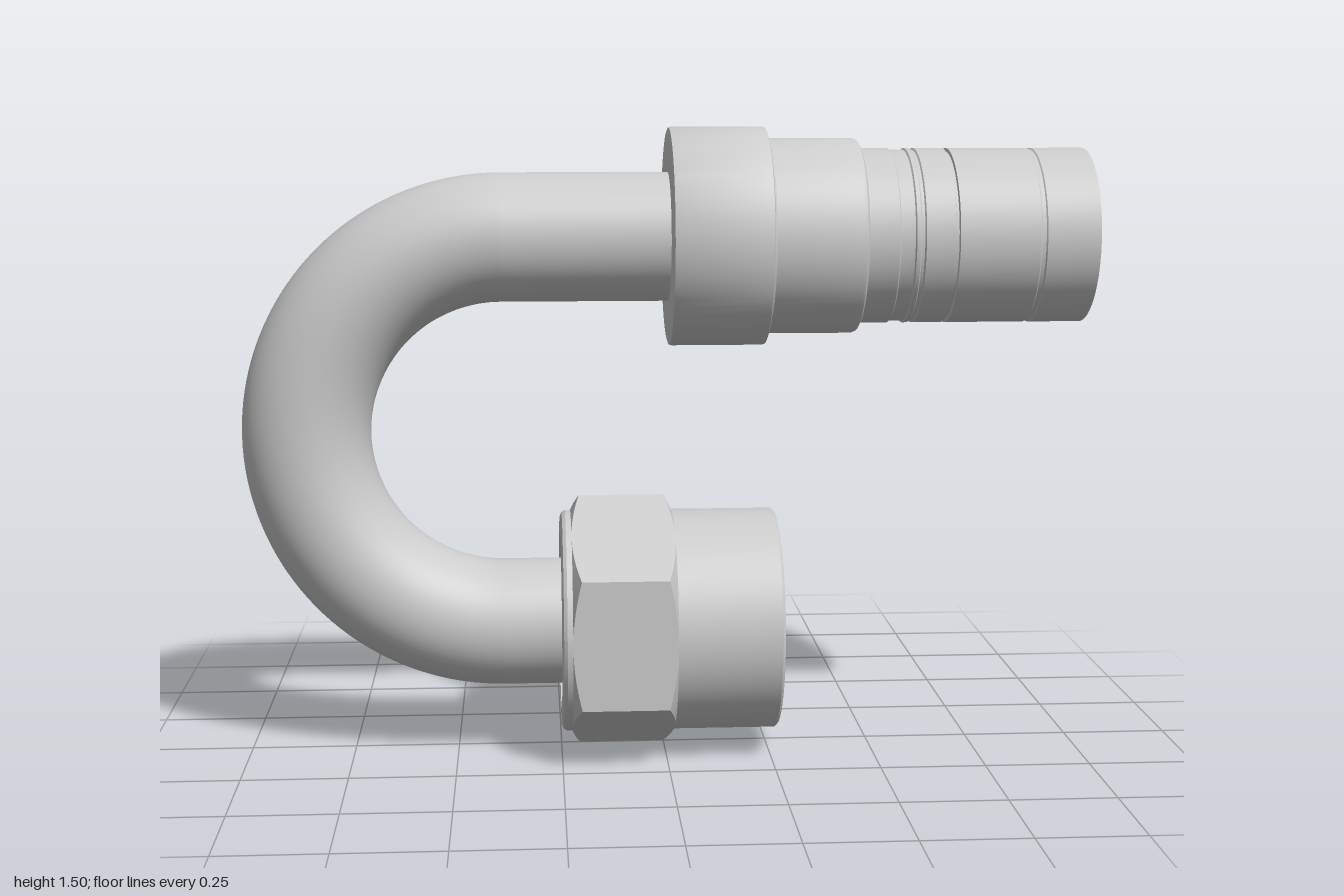
import * as THREE from 'three';
import { toCreasedNormals } from 'three/addons/utils/BufferGeometryUtils.js';

const GREY = new THREE.MeshStandardMaterial({ color: 0xcccccc });
const INNER = new THREE.MeshStandardMaterial({ color: 0xcccccc, side: THREE.BackSide });
const LOW = 0.308, HIGH = 1.238;      // heights of the two pipe axes
const BEND = (HIGH - LOW) / 2;        // bend radius
const BEND_X = -0.385;                // where the bend starts
const PIPE = 0.152, BORE = 0.115;     // pipe radii
const FLAT = 0.267;                   // hexagon centre to flat

function add(parent, name, geometry, material = GREY) {
  const mesh = new THREE.Mesh(geometry, material);
  mesh.name = name;
  parent.add(mesh);
  return mesh;
}

// Turned part about the x axis; profile is [x, radius], outside towards +x, inside back
function turned(profile) {
  const points = profile.map(([x, r]) => new THREE.Vector2(r, x));
  const geometry = new THREE.LatheGeometry(points, 72);
  geometry.rotateZ(-Math.PI / 2);
  return toCreasedNormals(geometry, 0.45);
}

// U-shaped pipe wall: half torus and two straight runs
function addPipe(parent, name, radius, material, highEnd, lowEnd) {
  const group = new THREE.Group();
  group.name = name;
  const bend = add(group, name + 'Bend', new THREE.TorusGeometry(BEND, radius, 48, 72, Math.PI), material);
  bend.rotation.z = Math.PI / 2;
  bend.position.set(BEND_X, LOW + BEND, 0);
  for (const [y, end] of [[HIGH, highEnd], [LOW, lowEnd]]) {
    const run = add(group, name + 'Run', turned([[BEND_X, radius], [end, radius]]), material);
    run.position.y = y;
  }
  parent.add(group);
}

// Distance along x of the chamfer edge for a position u across a flat
const chamferX = (u, start, dir) => start + dir * 0.5 * (Math.hypot(u, FLAT) - FLAT);

// Chamfer strip between the round barrel and one hexagon flat
function chamferStrip(us, start, dir) {
  const position = [], index = [];
  us.forEach((u, i) => {
    const a = Math.atan2(u, FLAT);
    position.push(start, FLAT * Math.sin(a), FLAT * Math.cos(a));
    position.push(chamferX(u, start, dir), u, FLAT);
    if (i === us.length - 1) return;
    const k = 2 * i;
    if (dir > 0) index.push(k, k + 1, k + 2, k + 1, k + 3, k + 2);
    else index.push(k, k + 2, k + 1, k + 1, k + 2, k + 3);
  });
  const geometry = new THREE.BufferGeometry();
  geometry.setAttribute('position', new THREE.Float32BufferAttribute(position, 3));
  geometry.setIndex(index);
  geometry.computeVertexNormals();
  return geometry;
}

function createNut() {
  const nut = new THREE.Group();
  nut.name = 'unionNut';
  const left = -0.225, right = 0.02;

  // Round barrel, recessed underneath the hexagon
  add(nut, 'nutBarrel', turned([
    [-0.25, 0.212], [-0.25, 0.252], [-0.246, 0.262], [-0.238, FLAT], [left, FLAT],
    [left + 0.005, 0.222], [-0.03, 0.222], [right - 0.005, 0.25], [right, FLAT],
    [0.264, FLAT], [0.27, 0.261], [0.27, 0.25], [0.255, 0.236],
    [0.0, 0.236], [-0.02, 0.212], [-0.25, 0.212],
  ]));

  // Six flats with curved chamfer edges; one has a drilled hole
  const half = FLAT * Math.tan(Math.PI / 6);
  const us = Array.from({ length: 17 }, (_, i) => half * (i / 8 - 1));
  const holeX = -0.14, holeZ = -0.217, holeR = 0.033;
  for (let k = 0; k < 6; k++) {
    const side = new THREE.Group();
    side.name = 'hexSide';
    side.rotation.x = Math.PI / 6 + k * Math.PI / 3 - Math.PI / 2;
    const outline = [
      ...us.map(u => new THREE.Vector2(chamferX(u, right, -1), u)),
      ...[...us].reverse().map(u => new THREE.Vector2(chamferX(u, left, 1), u)),
    ];
    const shape = new THREE.Shape(outline);
    if (k === 5) {
      const cos = Math.cos(Math.PI / 6);
      const hole = new THREE.Path();
      hole.absellipse(holeX, (-holeZ - half * cos) / cos, holeR, holeR / cos, 0, Math.PI * 2, true);
      shape.holes.push(hole);
    }
    const flat = new THREE.ShapeGeometry(shape, 24);
    flat.translate(0, 0, FLAT);
    add(side, 'hexFlat', flat);
    add(side, 'hexChamferBack', chamferStrip(us, left, 1));
    add(side, 'hexChamferFront', chamferStrip(us, right, -1));
    nut.add(side);
  }

  // Wall of the vertical hole, its rim cut to the slope of the flat
  const wall = new THREE.CylinderGeometry(holeR, holeR, 0.1, 32, 1, true);
  wall.translate(holeX, 0, holeZ);
  const p = wall.attributes.position;
  const tip = FLAT / Math.cos(Math.PI / 6);
  for (let i = 0; i < p.count; i++) {
    p.setY(i, p.getY(i) > 0 ? tip + p.getZ(i) * Math.tan(Math.PI / 6) : 0.03);
  }
  add(nut, 'wireHole', wall, INNER);
  return nut;
}

export function createModel() {
  const model = new THREE.Group();
  model.name = 'bentPipeFitting';

  addPipe(model, 'pipe', PIPE, GREY, 0.05, -0.2);
  addPipe(model, 'pipeBore', BORE, INNER, 0.05, -0.16);

  // Stepped coupling with grooves, open annular mouth and inner spigot
  const coupling = add(model, 'coupling', turned([
    [0.01, 0.14], [0.01, 0.25], [0.012, 0.256], [0.018, 0.258], [0.232, 0.258], [0.238, 0.256],
    [0.24, 0.25], [0.24, 0.236], [0.246, 0.231], [0.445, 0.231], [0.455, 0.227], [0.46, 0.218],
    [0.46, 0.207], [0.532, 0.207], [0.535, 0.203], [0.568, 0.203], [0.571, 0.207],
    [0.58, 0.207], [0.583, 0.203], [0.59, 0.203], [0.593, 0.207],
    [0.662, 0.207], [0.664, 0.2], [0.67, 0.2], [0.672, 0.207],
    [0.86, 0.207], [0.863, 0.204], [0.872, 0.204], [0.875, 0.207],
    [1.0, 0.207], [1.0, 0.199], [0.95, 0.194], [0.9, 0.194], [0.9, 0.183], [0.82, 0.183],
    [0.82, 0.14], [0.95, 0.14], [0.96, 0.136], [0.965, 0.13], [0.965, 0.12], [0.96, BORE], [0.05, BORE],
  ]));
  coupling.position.y = HIGH;

  // Conical seat held loosely inside the nut
  const seat = add(model, 'conicalSeat', turned([
    [-0.225, 0.15], [-0.225, 0.178], [-0.24, 0.183], [-0.24, 0.2], [-0.235, 0.205],
    [-0.06, 0.205], [-0.06, 0.18], [-0.16, BORE],
  ]));
  seat.position.y = LOW;

  const nut = createNut();
  nut.position.y = LOW;
  model.add(nut);
  return model;
}
